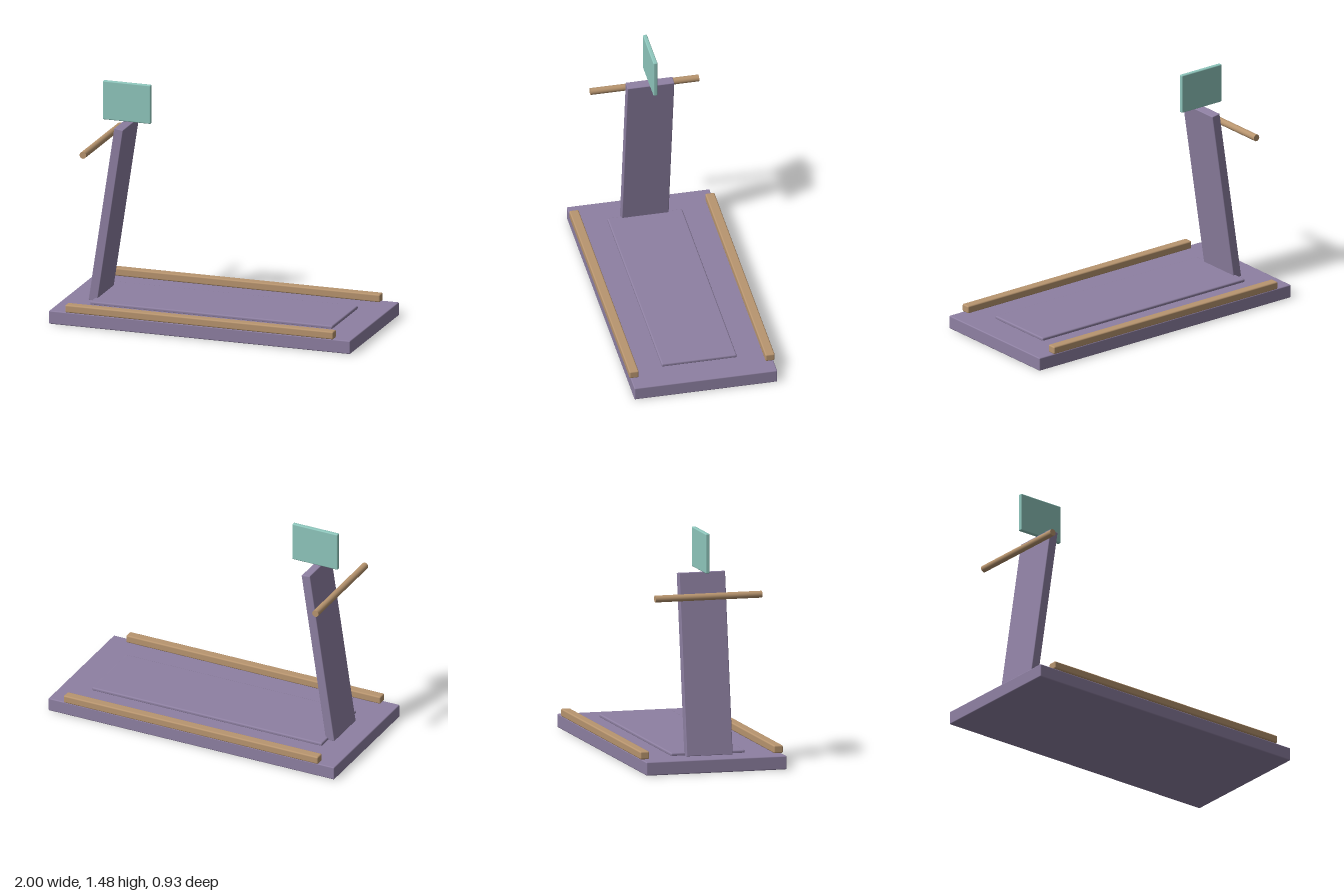
import * as THREE from 'three';
import { RoundedBoxGeometry } from 'three/addons/geometries/RoundedBoxGeometry.js';

const material = (name, color) => {
  const m = new THREE.MeshStandardMaterial({ color });
  m.name = name;
  return m;
};

export function createModel() {
  const model = new THREE.Group();
  model.name = 'treadmill';
  const purple = material('dusty purple', 0x8e80a2);
  const tan = material('tan', 0xb8956f);
  const teal = material('pale teal', 0x8fc7bd);

  // Box with a small soft edge, placed by its centre
  const box = (name, mat, size, pos, edge = 0.007) => {
    const mesh = new THREE.Mesh(new RoundedBoxGeometry(...size, 2, edge), mat);
    mesh.name = name;
    mesh.position.set(...pos);
    model.add(mesh);
    return mesh;
  };

  // Deck and running belt
  box('deck', purple, [2, 0.086, 0.914], [0, 0.043, 0]);
  box('belt', purple, [1.61, 0.024, 0.48], [0, 0.093, 0], 0.009);

  // Side rails
  for (const side of [1, -1]) {
    box(side > 0 ? 'frontRail' : 'backRail', tan, [1.78, 0.05, 0.06], [0, 0.111, side * 0.435], 0.009);
  }

  // Leaning upright
  const post = box('upright', purple, [0.06, 1.15, 0.3], [-0.732, 0.649, 0], 0.005);
  post.rotation.z = -0.15;

  // Display panel
  box('display', teal, [0.318, 0.252, 0.027], [-0.642, 1.355, 0]);

  // Handlebar
  const bar = new THREE.Mesh(new THREE.CylinderGeometry(0.022, 0.022, 0.694, 16), tan);
  bar.name = 'handlebar';
  bar.rotation.x = Math.PI / 2;
  bar.position.set(-0.813, 1.086, 0);
  model.add(bar);

  return model;
}
